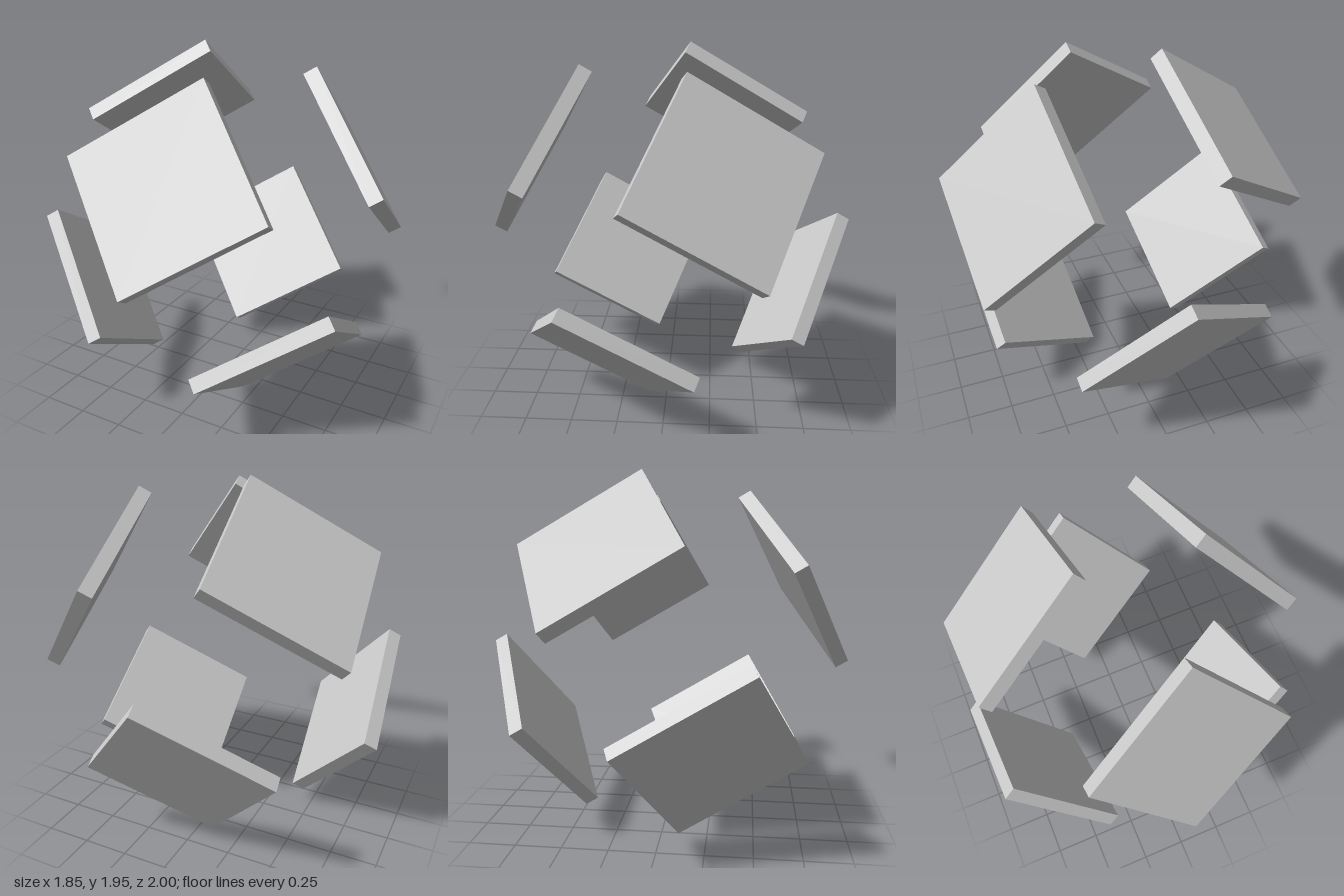
import * as THREE from 'three';

// Six separate square slabs: the faces of an exploded, tilted cube.
export function createModel() {
  const group = new THREE.Group();
  const side = 0.764, thickness = 0.076, reach = 0.841;
  const material = new THREE.MeshStandardMaterial({ color: 0xcccccc, flatShading: true });
  const geometries = [
    new THREE.BoxGeometry(thickness, side, side),
    new THREE.BoxGeometry(side, thickness, side),
    new THREE.BoxGeometry(side, side, thickness),
  ];
  const names = [['rightPanel', 'leftPanel'], ['bottomPanel', 'topPanel'], ['backPanel', 'frontPanel']];

  // Tilted cube with a pair of panels on each axis
  const cube = new THREE.Group();
  cube.name = 'explodedCube';
  geometries.forEach((geometry, axis) => {
    [-1, 1].forEach((sign, i) => {
      const panel = new THREE.Mesh(geometry, material);
      panel.name = names[axis][i];
      panel.position.setComponent(axis, sign * (reach - thickness / 2));
      cube.add(panel);
    });
  });

  // Orthonormal axes of the tilt
  const n = new THREE.Vector3(0.081, 0.502, 0.861).normalize();
  const u = new THREE.Vector3(0.786, 0.498, -0.367);
  u.addScaledVector(n, -u.dot(n)).normalize();
  const v = new THREE.Vector3().crossVectors(n, u);
  cube.quaternion.setFromRotationMatrix(new THREE.Matrix4().makeBasis(u, v, n));
  cube.position.y = 0.979;
  group.add(cube);
  return group;
}
